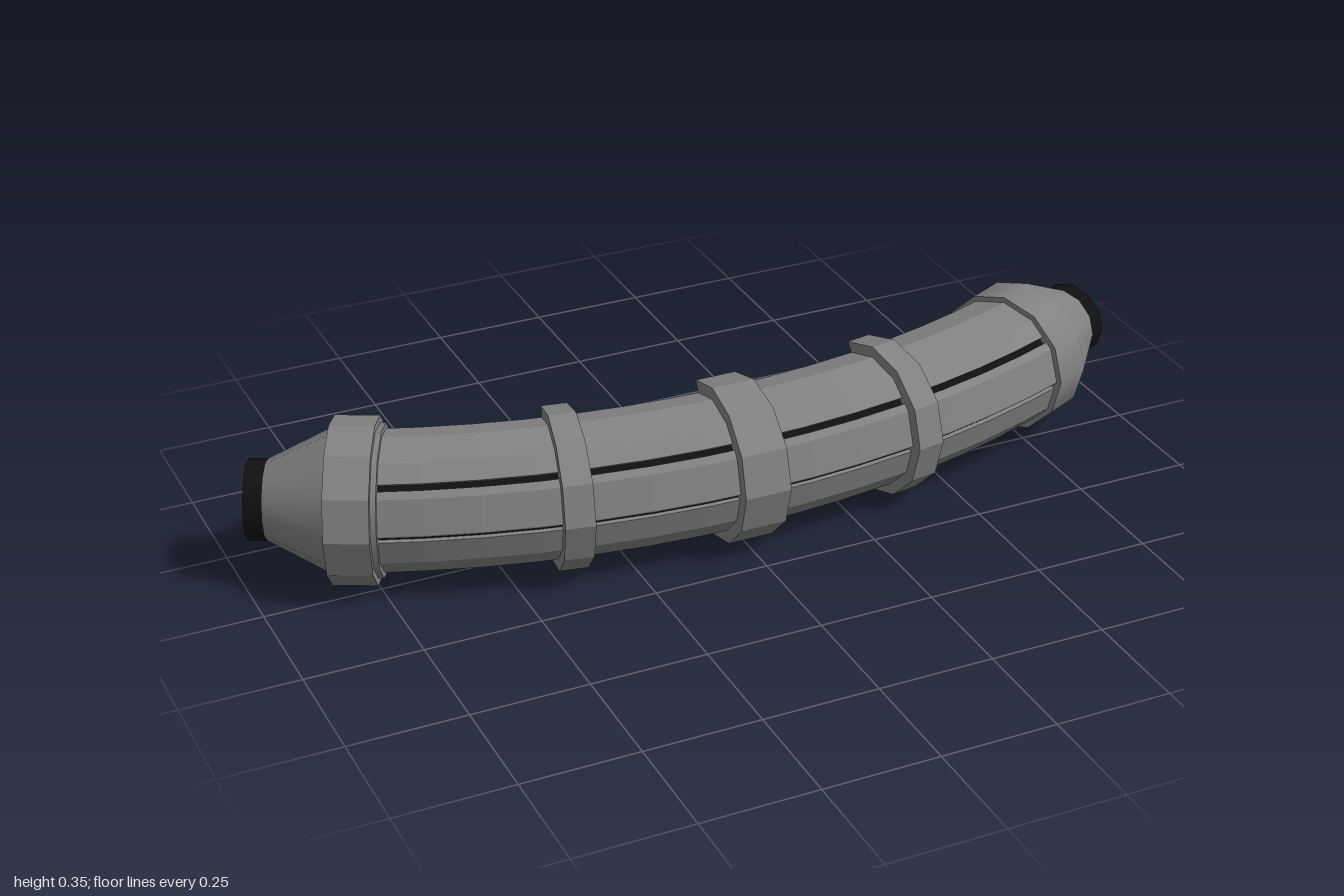
import * as THREE from 'three';

const R = 1.95;         // bend radius of the centre line
const Y = 0.175;        // height of the centre line
const Z = 0.085;        // depth of the centre line at x = 0
const rad = THREE.MathUtils.degToRad;

const grey = new THREE.MeshStandardMaterial({ color: 0x828282, side: THREE.DoubleSide });
grey.name = 'grey metal';
const black = new THREE.MeshStandardMaterial({ color: 0x101010, side: THREE.DoubleSide });
black.name = 'black core';

// point at bend angle t, section angle a (0 = front, 90 = up), distance r
function bendPoint(t, a, r) {
  const d = R + r * Math.cos(rad(a));
  return [d * Math.sin(rad(t)), Y + r * Math.sin(rad(a)), Z - R + d * Math.cos(rad(t))];
}

// walled section of a twelve-sided pipe, swept along the bend
function bentWall(rIn, rOut, a0, a1, t0, t1, steps) {
  const angles = [a0];
  for (let a = Math.floor(a0 / 30) * 30 + 30; a < a1; a += 30) angles.push(a);
  angles.push(a1);
  const flat = a => Math.cos(rad(15)) / Math.cos(rad(((a % 30) + 30) % 30 - 15));
  const outer = angles.map(a => [a, rOut * flat(a)]);
  const inner = angles.map(a => [a, rIn * flat(a)]);
  const loop = [...outer, ...inner.slice().reverse()];
  const pos = [];
  const quad = (a, b, c, d) => pos.push(...a, ...b, ...c, ...a, ...c, ...d);
  for (let i = 0; i < steps; i++) {
    const ta = t0 + (t1 - t0) * i / steps, tb = t0 + (t1 - t0) * (i + 1) / steps;
    loop.forEach((p, j) => {
      const q = loop[(j + 1) % loop.length];
      quad(bendPoint(ta, ...p), bendPoint(tb, ...p), bendPoint(tb, ...q), bendPoint(ta, ...q));
    });
  }
  for (let j = 0; j < angles.length - 1; j++) {
    const face = t => [outer[j], outer[j + 1], inner[j + 1], inner[j]].map(p => bendPoint(t, ...p));
    quad(...face(t0));
    quad(...face(t1).reverse());
  }
  const g = new THREE.BufferGeometry();
  g.setAttribute('position', new THREE.Float32BufferAttribute(pos, 3));
  g.computeVertexNormals();
  return g;
}

function add(parent, name, geometry, material) {
  const mesh = new THREE.Mesh(geometry, material);
  mesh.name = name;
  parent.add(mesh);
  return mesh;
}

// open twelve-sided tube along +x from s0 to s1
function axial(s0, s1, r0, r1) {
  return new THREE.CylinderGeometry(r1, r0, s1 - s0, 12, 1, true)
    .rotateZ(-Math.PI / 2).translate((s0 + s1) / 2, 0, 0);
}

function endCap(side) {
  const cap = new THREE.Group();
  cap.name = side > 0 ? 'leftEndCap' : 'rightEndCap';
  const t = 21.5 * side;
  cap.position.set(...bendPoint(t, 0, 0));
  cap.rotation.y = side > 0 ? rad(26) : Math.PI - rad(26);
  add(cap, 'capSleeve', axial(0, 0.09, 0.158, 0.158), grey);
  add(cap, 'capCone', axial(0.09, 0.24, 0.158, 0.083), grey);
  add(cap, 'capCollar', axial(0.235, 0.277, 0.084, 0.084), black);
  // annular lip between the sleeve and the tube
  add(cap, 'capLip', new THREE.RingGeometry(0.125, 0.158, 12).rotateY(-Math.PI / 2), grey);
  return cap;
}

export function createModel() {
  const model = new THREE.Group();
  model.name = 'bentTube';

  // dark inner tube, seen through the slits and the open back
  add(model, 'core', bentWall(0.125, 0.135, 0, 360, -22.5, 22.5, 14), black);

  // outer shell panels, split by two slits on the front
  [[-150, -6.5], [-1.5, 37], [42.5, 120]].forEach(([a0, a1], i) =>
    add(model, 'shellPanel' + (i + 1), bentWall(0.134, 0.146, a0, a1, -22.5, 22.5, 14), grey));

  // clamps around the shell, open at the back
  for (const [t, half, r] of [[-10.8, 0.85, 0.17], [0, 1.38, 0.173], [10.8, 0.85, 0.17]]) {
    add(model, 'clampRing', bentWall(0.133, r, -150, 120, t - half, t + half, 1), grey);
  }

  // end caps, the right one with a heavy closed ring
  model.add(endCap(1));
  const right = endCap(-1);
  model.add(right);
  const ring = new THREE.Group();
  ring.name = 'endRing';
  add(ring, 'ringOuter', axial(0.012, 0.105, 0.173, 0.173).toNonIndexed(), grey).geometry.computeVertexNormals();
  for (const s of [0.012, 0.105]) {
    const side = new THREE.RingGeometry(0.14, 0.173, 12).rotateY(s < 0.05 ? -Math.PI / 2 : Math.PI / 2);
    // turn the ring so its corners meet those of the band
    add(ring, 'ringSide', side.translate(s, 0, 0), grey);
  }
  right.add(ring);

  return model;
}
